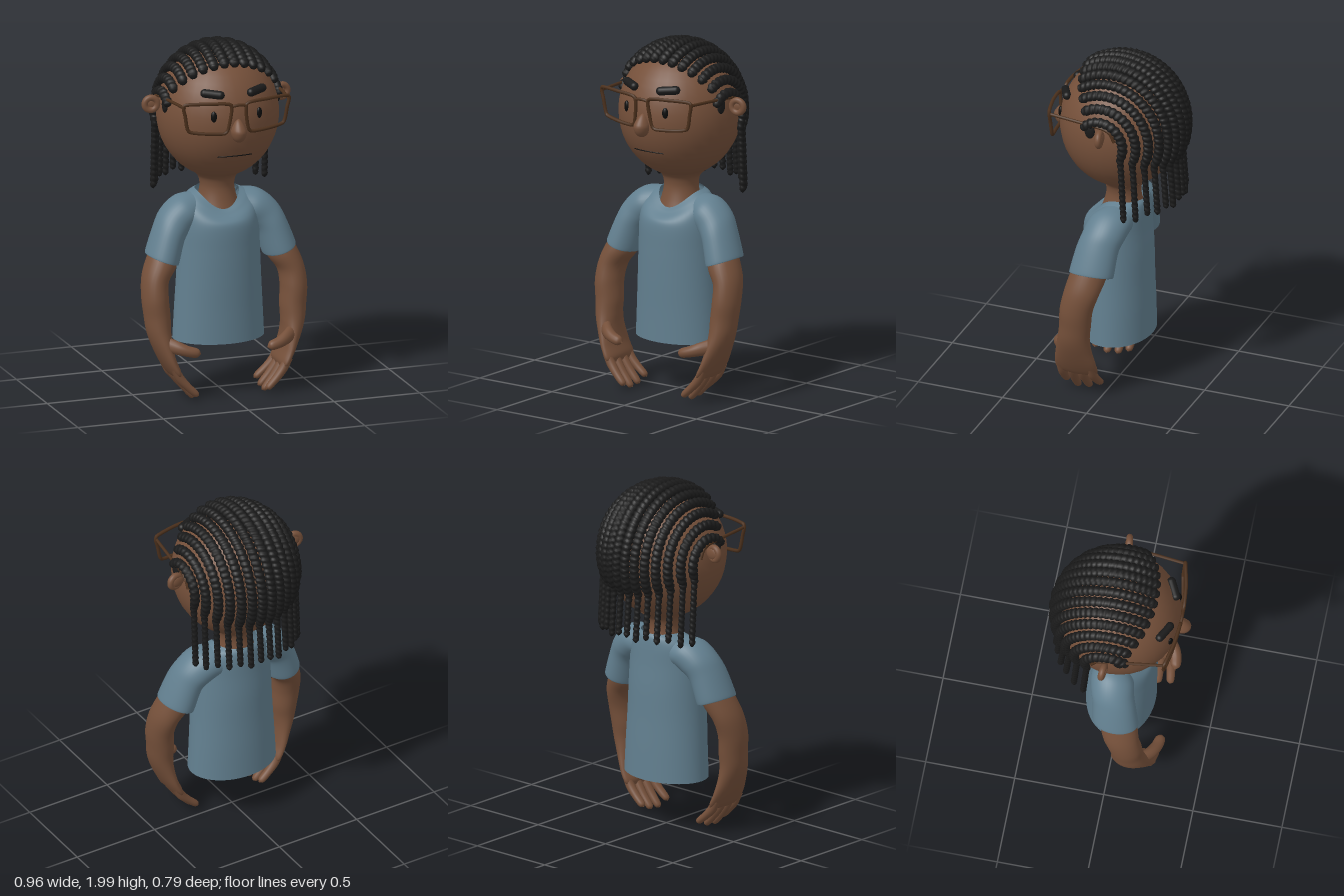
import * as THREE from 'three';

const V = (x, y, z) => new THREE.Vector3(x, y, z);
const mat = (color) => new THREE.MeshStandardMaterial({ color, side: THREE.DoubleSide });
const SKIN = mat(0x75503a), SHIRT = mat(0x627f8f), HAIR = mat(0x1a1a1a), FRAME = mat(0x4b301c), DARK = mat(0x0c0c0c);

// Head ellipsoid, shared by face parts and hair
const HEAD = V(0, 1.585, -0.01), HEAD_R = V(0.34, 0.37, 0.345);
const faceZ = (x, y) => HEAD.z + HEAD_R.z *
  Math.sqrt(Math.max(0, 1 - (x / HEAD_R.x) ** 2 - ((y - HEAD.y) / HEAD_R.y) ** 2));

function add(parent, name, geo, material) {
  const m = new THREE.Mesh(geo, material);
  m.name = name;
  parent.add(m);
  return m;
}

// Smooth surface through closed rings of points
function skin(rings) {
  const n = rings[0].length, idx = [];
  for (let i = 0; i < rings.length - 1; i++)
    for (let j = 0; j < n; j++) {
      const a = i * n + j, b = i * n + (j + 1) % n;
      idx.push(a, b, a + n, b, b + n, a + n);
    }
  const g = new THREE.BufferGeometry().setFromPoints(rings.flat());
  g.setIndex(idx);
  g.computeVertexNormals();
  return g;
}

// Loft of ellipses, each [x, y, z, radius across, radius in z, tilt]
function loft(sections, steps, n = 28, rule = (p) => p) {
  const centre = new THREE.CatmullRomCurve3(sections.map((s) => V(s[0], s[1], s[2])), false, 'catmullrom');
  const size = new THREE.CatmullRomCurve3(sections.map((s) => V(s[3], s[4], s[5] || 0)), false, 'catmullrom');
  const rings = [];
  for (let i = 0; i <= steps; i++) {
    const c = centre.getPoint(i / steps), r = size.getPoint(i / steps), ring = [];
    for (let j = 0; j < n; j++) {
      const a = j / n * Math.PI * 2, u = Math.cos(a) * r.x;
      ring.push(rule(V(c.x + u * Math.cos(r.z), c.y + u * Math.sin(r.z), c.z + Math.sin(a) * r.y), a));
    }
    rings.push(ring);
  }
  return skin(rings);
}

function ball(parent, name, pos, r, material) {
  const m = add(parent, name, new THREE.SphereGeometry(1, 32, 24), material);
  m.position.set(...pos);
  m.scale.set(...r);
  return m;
}

function tube(parent, name, pts, r, material, closed = false, tension = 0.5) {
  const curve = new THREE.CatmullRomCurve3(pts, closed, 'catmullrom', tension);
  return add(parent, name, new THREE.TubeGeometry(curve, 64, r, 8, closed), material);
}

// One cornrow: follows the scalp front to back, then hangs as a thinner braid
function braid(x, startDeg, bottom) {
  const k = Math.sqrt(1 - (x / 0.35) ** 2), pts = [];
  for (let i = 0; i <= 20; i++) {
    const a = THREE.MathUtils.degToRad(startDeg + (205 - startDeg) * i / 20);
    pts.push(V(x, HEAD.y + 0.385 * k * Math.sin(a), HEAD.z + 0.365 * k * Math.cos(a)));
  }
  const end = pts[20];
  for (let i = 1; i <= 5; i++) pts.push(V(x, end.y + (bottom - end.y) * i / 5, end.z - 0.004 * i));
  const curve = new THREE.CatmullRomCurve3(pts), len = curve.getLength();
  const steps = Math.round(len / 0.0065), hangAt = len - (end.y - bottom), rings = [];
  for (let i = 0; i <= steps; i++) {
    const t = i / steps, s = t * len, p = curve.getPointAt(t), T = curve.getTangentAt(t);
    const N = p.clone().sub(HEAD);
    N.addScaledVector(T, -N.dot(T)).normalize();
    const L = N.clone().cross(T);
    const hang = THREE.MathUtils.smoothstep(s, hangAt - 0.06, hangAt + 0.06);
    const tip = Math.sqrt(Math.min(1, s / 0.02, (len - s) / 0.02));
    const w = (0.029 - 0.011 * hang) * tip, h = (0.026 - 0.008 * hang) * tip, ring = [];
    for (let j = 0; j < 10; j++) {
      const a = j / 10 * Math.PI * 2, c = Math.cos(a);
      const f = 0.78 + 0.26 * Math.abs(Math.sin(Math.PI * s / 0.032 + 1.3 * Math.abs(c)));
      ring.push(p.clone().addScaledVector(L, c * w * f).addScaledVector(N, Math.sin(a) * h * f));
    }
    rings.push(ring);
  }
  return skin(rings);
}

// Sleeve, arm and hand of the model's left side
function buildArm(name) {
  const g = new THREE.Group();
  g.name = name;
  add(g, 'sleeve', loft([
    [0.13, 1.035, -0.025, 0.095, 0.105, 1.4], [0.19, 1.03, -0.012, 0.1, 0.12, 1.0],
    [0.25, 0.985, 0, 0.1, 0.12, 0.62], [0.295, 0.92, 0.018, 0.092, 0.12, 0.42],
    [0.34, 0.79, 0.035, 0.095, 0.127, 0.35], [0.337, 0.795, 0.036, 0.086, 0.117, 0.35],
    [0.33, 0.83, 0.034, 0.082, 0.108, 0.35]], 50, 36), SHIRT);
  add(g, 'arm', loft([
    [0.315, 0.86, 0.03, 0.072, 0.09, 0.3], [0.35, 0.77, 0.053, 0.084, 0.103, 0.32],
    [0.395, 0.68, 0.075, 0.074, 0.1, 0.2], [0.405, 0.58, 0.1, 0.074, 0.094, 0],
    [0.397, 0.48, 0.11, 0.073, 0.09, 0], [0.392, 0.4, 0.12, 0.066, 0.092, -0.1],
    [0.375, 0.32, 0.127, 0.053, 0.104, -0.4], [0.345, 0.23, 0.13, 0.039, 0.12, -0.55],
    [0.312, 0.165, 0.132, 0.03, 0.122, -0.6], [0.298, 0.14, 0.132, 0.008, 0.09, -0.6]], 60), SKIN);
  // Fingers: [z at knuckle, z at tip, tip height]
  [[0.222, 0.234, 0.026], [0.163, 0.166, 0.003], [0.103, 0.1, 0.01], [0.042, 0.036, 0.036]].forEach(([z0, z1, y]) => {
    add(g, 'finger', loft([
      [0.335, 0.2, z0, 0.024, 0.024, -0.6], [0.303, 0.14, z0, 0.025, 0.027, -0.65],
      [0.262, (0.14 + y) / 2 + 0.008, (z0 + z1) / 2, 0.022, 0.025, -0.75],
      [0.213, y + 0.018, z1, 0.018, 0.021, -0.85], [0.198, y + 0.007, z1, 0.003, 0.003, -0.85]], 24, 14), SKIN);
  });
  add(g, 'thumb', loft([
    [0.385, 0.335, 0.16, 0.045, 0.05, -1.3], [0.325, 0.318, 0.222, 0.038, 0.04, -1.3],
    [0.27, 0.3, 0.252, 0.031, 0.034, -1.3], [0.218, 0.287, 0.262, 0.026, 0.027, -1.3],
    [0.196, 0.281, 0.263, 0.003, 0.003, -1.3]], 26, 16), SKIN);
  return g;
}

export function createModel() {
  const model = new THREE.Group();
  model.name = 'figure';

  // Head and neck
  ball(model, 'head', HEAD.toArray(), HEAD_R.toArray(), SKIN);
  const neck = [[0.14, 1.0], [0.127, 1.04], [0.11, 1.09], [0.098, 1.14], [0.097, 1.18], [0.11, 1.22], [0.15, 1.255]];
  const profile = new THREE.SplineCurve(neck.map(([r, y]) => new THREE.Vector2(r, y))).getPoints(24);
  add(model, 'neck', new THREE.LatheGeometry(profile, 40), SKIN).position.z = -0.02;

  // Nose, narrowing toward the bridge
  const nose = new THREE.SphereGeometry(1, 28, 20), np = nose.attributes.position;
  for (let i = 0; i < np.count; i++) {
    const k = 1 - 0.35 * Math.max(0, np.getY(i));
    np.setXYZ(i, np.getX(i) * k * 0.044, np.getY(i) * 0.066, np.getZ(i) * k * 0.055 - Math.max(0, np.getY(i)) * 0.01);
  }
  nose.computeVertexNormals();
  add(model, 'nose', nose, SKIN).position.set(0, 1.563, 0.338);

  const mouth = [];
  for (let i = -6; i <= 6; i++) {
    const x = i / 6 * 0.1, y = 1.403 + 0.003 * (1 - (i / 6) ** 2);
    mouth.push(V(x, y, faceZ(x, y)));
  }
  tube(model, 'mouth', mouth, 0.003, DARK);

  // Glasses follow a shallow curve around the face
  const glasses = new THREE.Group();
  glasses.name = 'glasses';
  model.add(glasses);
  const lens = (x, y) => V(x, y, 0.345 - 0.045 * (x / 0.31) ** 2 - (1.73 - y) * 0.1);
  tube(glasses, 'bridge', [-0.05, 0, 0.05].map((x) => lens(x, x ? 1.705 : 1.712)), 0.009, FRAME);

  for (const s of [1, -1]) {
    ball(model, 'eye', [s * 0.133, 1.645, faceZ(0.133, 1.645)], [0.017, 0.031, 0.012], DARK).rotation.y = s * 0.4;
    // Brow
    const a = V(s * 0.09, 1.762, 0.29), b = V(s * 0.168, 1.77, 0.25);
    const brow = add(model, 'eyebrow', new THREE.CapsuleGeometry(0.024, a.distanceTo(b), 8, 18), HAIR);
    brow.position.copy(a).lerp(b, 0.5);
    brow.quaternion.setFromUnitVectors(V(0, 1, 0), b.clone().sub(a).normalize());
    // Ear: rim and inner dish
    const ear = new THREE.Group();
    ear.name = 'ear';
    ear.position.set(s * 0.383, 1.655, -0.028);
    ear.rotation.y = s * 0.15;
    model.add(ear);
    add(ear, 'earRim', new THREE.TorusGeometry(0.035, 0.018, 14, 32), SKIN);
    ball(ear, 'earDish', [-s * 0.012, 0, -0.008], [0.045, 0.036, 0.016], SKIN);
    ball(model, 'sideburn', [s * 0.329, 1.665, 0.05], [0.015, 0.045, 0.03], HAIR);
    // Rim and temple
    const rim = [[0.045, 1.715], [0.17, 1.73], [0.305, 1.727], [0.298, 1.66], [0.277, 1.573], [0.18, 1.555],
      [0.08, 1.55], [0.057, 1.58]];
    tube(glasses, 'rim', rim.map(([x, y]) => lens(s * x, y)), 0.01, FRAME, true, 0.3);
    tube(glasses, 'temple', [V(0.305, 1.712, 0.303), V(0.324, 1.708, 0.14), V(0.342, 1.7, -0.03),
      V(0.345, 1.68, -0.075), V(0.345, 1.63, -0.1)].map((p) => p.setX(p.x * s)), 0.009, FRAME, false, 0.3);
  }

  // Cornrows: [x, start angle, lower end]
  const hair = new THREE.Group();
  hair.name = 'hair';
  model.add(hair);
  const rows = [[0.03, 53, 1.17], [0.089, 53, 1.15], [0.146, 53, 1.17], [0.2, 53, 1.15], [0.25, 53, 1.16],
    [0.294, 52, 1.13], [0.326, 35, 1.13]];
  for (const [x, start, bottom] of rows)
    for (const s of [1, -1]) add(hair, 'braid', braid(s * x, start, bottom), HAIR);

  // Shirt body, open below, with a scooped neckline in front
  const scoop = (p, a) => {
    p.y -= 0.09 * THREE.MathUtils.smoothstep(p.y, 0.95, 1.14) * Math.max(0, Math.sin(a)) ** 2;
    return p;
  };
  add(model, 'shirtBody', loft([
    [0, 1.14, -0.022, 0.122, 0.127], [0, 1.115, -0.015, 0.175, 0.147], [0, 1.06, 0, 0.215, 0.168],
    [0, 0.96, 0.012, 0.226, 0.184], [0, 0.82, 0.01, 0.232, 0.19], [0, 0.65, 0.008, 0.24, 0.191],
    [0, 0.48, 0.004, 0.25, 0.192], [0, 0.3, 0.002, 0.26, 0.193]], 56, 56, scoop), SHIRT);

  // Arms, mirrored
  model.add(buildArm('leftArm'));
  const right = buildArm('rightArm');
  right.scale.x = -1;
  model.add(right);
  return model;
}
